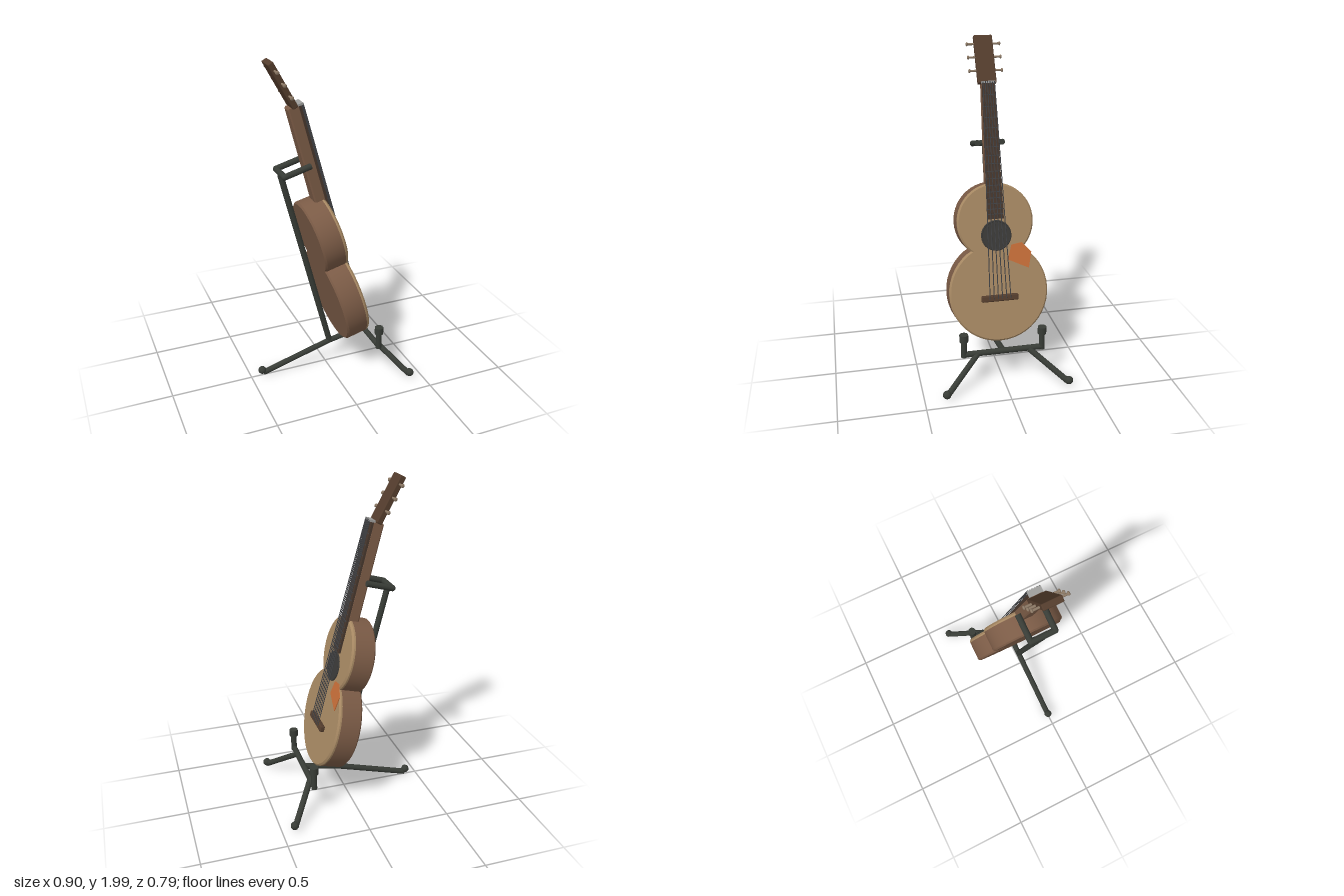
import * as THREE from 'three';
import { toCreasedNormals } from 'three/addons/utils/BufferGeometryUtils.js';
import { RoundedBoxGeometry } from 'three/addons/geometries/RoundedBoxGeometry.js';

const mat = (name, color) => Object.assign(new THREE.MeshStandardMaterial({ color }), { name });
const M = {
  wood: mat('brown wood', 0x7b5b46),
  spruce: mat('pale soundboard', 0xa58762),
  dark: mat('dark brown wood', 0x543d2d),
  board: mat('fingerboard', 0x46362c),
  hole: mat('soundhole grey', 0x3a3937),
  string: mat('string grey', 0x424346),
  guard: mat('orange pickguard', 0xc56d38),
  metal: mat('peg metal', 0x8d7a66),
  nut: mat('nut grey', 0x9c9c9a),
  stand: mat('stand black green', 0x383c36),
};

const V = (x, y, z) => new THREE.Vector3(x, y, z);

function add(parent, name, geo, material, x = 0, y = 0, z = 0) {
  const m = new THREE.Mesh(geo, material);
  m.name = name;
  m.position.set(x, y, z);
  parent.add(m);
  return m;
}

// Cylinder between two points
function rod(parent, name, a, b, r, material, sides = 10) {
  const m = add(parent, name, new THREE.CylinderGeometry(r, r, a.distanceTo(b), sides), material);
  m.position.copy(a).lerp(b, 0.5);
  m.quaternion.setFromUnitVectors(V(0, 1, 0), b.clone().sub(a).normalize());
  return m;
}

const ball = (parent, name, p, r, material) =>
  add(parent, name, new THREE.SphereGeometry(r, 12, 8), material, p.x, p.y, p.z);

// Two overlapping circles form the body outline
function bodyShape(inset) {
  const R = 0.302 - inset, r = 0.232 - inset, c1 = 0.302, c2 = 0.728, d = c2 - c1;
  const a = (d * d + R * R - r * r) / (2 * d), h = Math.sqrt(R * R - a * a);
  const low = Math.atan2(a, h), up = Math.atan2(a - d, h);
  const s = new THREE.Shape();
  s.absarc(0, c2, r, up, Math.PI - up, false);
  s.absarc(0, c1, R, Math.PI - low, 2 * Math.PI + low, false);
  return s;
}

// Extrusion spanning z0..z1 including its bevel
function slab(shape, z0, z1, bevel) {
  const g = new THREE.ExtrudeGeometry(shape, {
    depth: z1 - z0 - 2 * bevel, bevelEnabled: bevel > 0, bevelThickness: bevel,
    bevelSize: bevel, bevelSegments: 1, curveSegments: 20,
  });
  g.translate(0, 0, z0 + bevel);
  return toCreasedNormals(g, 0.5);
}

const polygon = (pts) => new THREE.Shape(pts.map((p) => new THREE.Vector2(...p)));
const taper = (w0, y0, w1, y1) => polygon([[-w0, y0], [w0, y0], [w1, y1], [-w1, y1]]);

function buildGuitar() {
  const g = new THREE.Group();
  g.name = 'guitar';

  // Body
  add(g, 'bodySides', slab(bodyShape(0.01), -0.15, -0.01, 0.01), M.wood);
  add(g, 'soundboard', slab(bodyShape(0.01), -0.03, 0, 0.01), M.spruce);
  const holeY = 0.645;
  add(g, 'soundhole', new THREE.CylinderGeometry(0.085, 0.085, 0.006, 28), M.hole, 0, holeY, 0.003)
    .rotation.x = Math.PI / 2;
  add(g, 'rosette', new THREE.TorusGeometry(0.087, 0.006, 6, 28), M.hole, 0, holeY, 0.003);
  add(g, 'pickguard', slab(polygon([[0.064, 0.494], [0.19, 0.433], [0.21, 0.53], [0.154, 0.592], [0.09, 0.582]]), 0, 0.005, 0), M.guard);
  rod(g, 'endPin', V(0, 0.01, -0.075), V(0, -0.015, -0.075), 0.01, M.metal);

  // Neck, fingerboard and frets
  add(g, 'neck', slab(taper(0.04, 0.92, 0.028, 1.54), -0.065, 0.006, 0.008), M.wood);
  add(g, 'fingerboard', slab(taper(0.05, 0.745, 0.037, 1.548), 0, 0.014, 0), M.board);
  for (let i = 1; i <= 16; i++) {
    const y = 0.265 + 1.285 * Math.pow(2, -i / 12);
    const w = 0.05 - 0.013 * (y - 0.745) / 0.803;
    add(g, 'fret', new THREE.BoxGeometry(2 * w, 0.004, 0.003), M.string, 0, y, 0.015);
  }
  add(g, 'nut', new THREE.BoxGeometry(0.078, 0.012, 0.035), M.nut, 0, 1.551, 0.011);

  // Bridge and strings
  add(g, 'bridge', new RoundedBoxGeometry(0.225, 0.038, 0.03, 2, 0.008), M.dark, 0, 0.268, 0.013);
  for (let i = 0; i < 6; i++) {
    const k = (i - 2.5) / 2.5;
    rod(g, 'string', V(k * 0.064, 0.265, 0.029), V(k * 0.034, 1.555, 0.028), 0.003, M.string, 6);
  }

  // Headstock with three pegs on each side
  const head = new THREE.Group();
  head.name = 'headstock';
  head.position.set(0, 1.545, -0.024);
  head.rotation.x = -0.24;
  g.add(head);
  add(head, 'headPlate', new RoundedBoxGeometry(0.112, 0.295, 0.035, 2, 0.006), M.dark, 0, 0.1475, 0);
  for (const y of [0.08, 0.163, 0.245]) {
    for (const s of [-1, 1]) {
      rod(head, 'pegShaft', V(s * 0.05, y, 0), V(s * 0.095, y, 0), 0.007, M.metal, 8);
      ball(head, 'pegKnob', V(s * 0.098, y, 0), 0.012, M.metal).scale.x = 0.6;
    }
  }

  // Turn to face +x and lean back
  g.rotation.set(0, Math.PI / 2, 0.26, 'ZYX');
  g.position.set(0.228, 0.24, 0);
  return g;
}

function buildStand() {
  const g = new THREE.Group();
  g.name = 'stand';
  const r = 0.018;
  const top = V(-0.275, 1.335, 0), joint = V(0.03, 0.15, 0), front = V(0.265, 0.195, 0);

  // Post, rear leg and link to the crossbar
  rod(g, 'post', joint, top, r, M.stand);
  rod(g, 'rearLeg', V(-0.42, 0.02, 0), joint, r, M.stand);
  ball(g, 'rearFoot', V(-0.428, 0.04, 0), 0.025, M.stand);
  rod(g, 'link', joint, front, r, M.stand);
  ball(g, 'postJoint', joint, r, M.stand);

  // Crossbar and neck yoke
  rod(g, 'crossbar', V(0.265, 0.195, -0.24), V(0.265, 0.195, 0.24), r, M.stand);
  rod(g, 'yokeBar', V(-0.275, 1.345, -0.075), V(-0.275, 1.345, 0.075), r, M.stand);

  for (const s of [-1, 1]) {
    // Yoke arms
    rod(g, 'yokeArm', V(-0.275, 1.345, s * 0.075), V(-0.115, 1.39, s * 0.075), r, M.stand);
    ball(g, 'yokeCorner', V(-0.275, 1.345, s * 0.075), r, M.stand);
    // Body supports
    rod(g, 'support', V(0.265, 0.18, s * 0.24), V(0.265, 0.3, s * 0.24), r, M.stand);
    rod(g, 'supportCap', V(0.265, 0.285, s * 0.24), V(0.265, 0.33, s * 0.24), 0.027, M.stand);
    // Front legs
    rod(g, 'frontLeg', V(0.27, 0.19, s * 0.16), V(0.42, 0.025, s * 0.368), r, M.stand);
    ball(g, 'frontFoot', V(0.424, 0.037, s * 0.37), 0.025, M.stand);
  }
  return g;
}

export function createModel() {
  const model = new THREE.Group();
  model.name = 'guitarOnStand';
  model.add(buildGuitar(), buildStand());
  return model;
}
